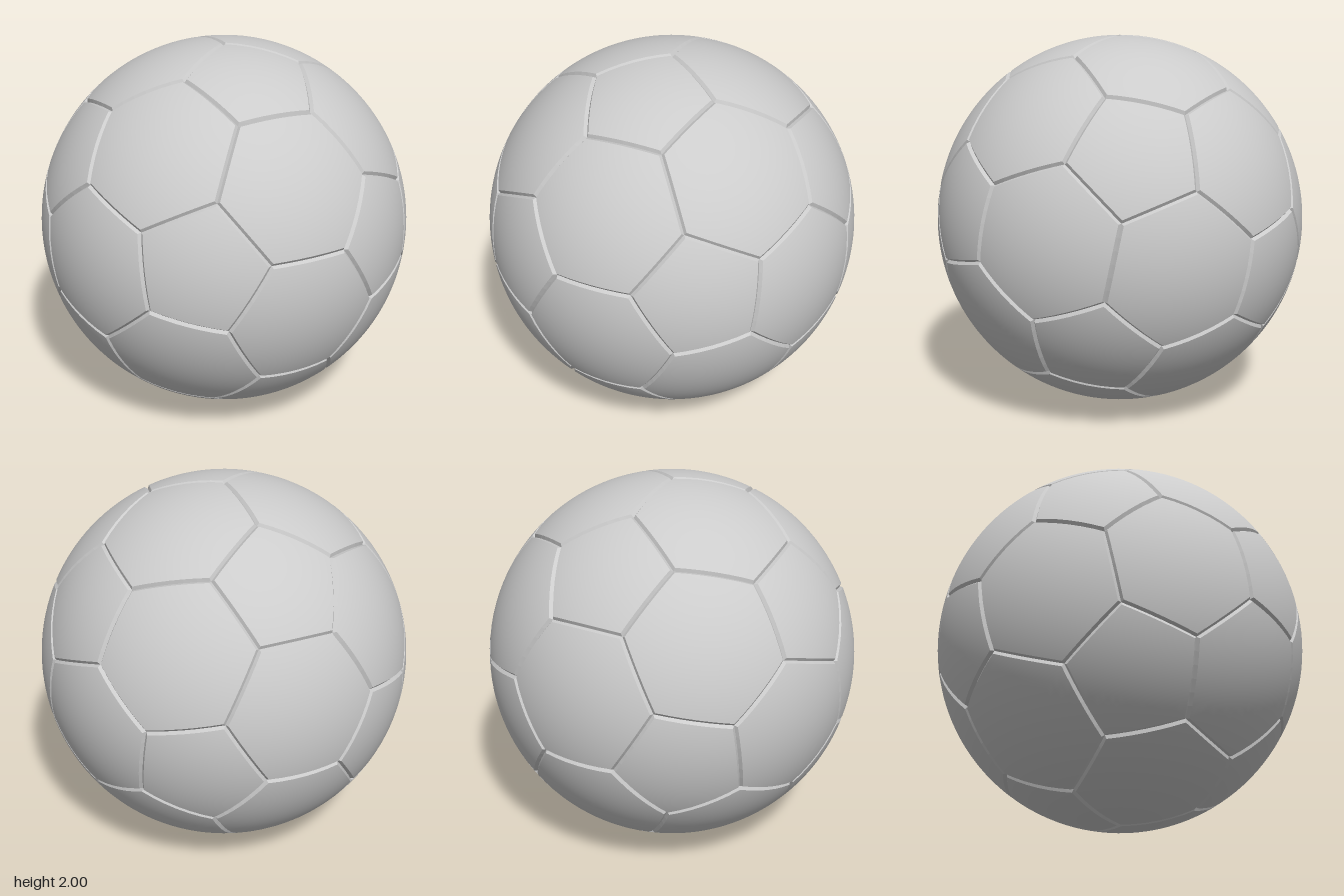
import * as THREE from 'three';

const PHI = (1 + Math.sqrt(5)) / 2;
const HALF_GAP = 0.014;  // half the width of a seam
const GROOVE_R = 0.985;  // radius at the bottom of a seam
const RINGS = 8, STEPS = 6;

// The 12 icosahedron corners are the pentagon centres; turned so a seam junction sits on top.
function pentagonCentres() {
  const pts = [];
  for (const a of [1, -1]) for (const b of [PHI, -PHI])
    pts.push(new THREE.Vector3(0, a, b), new THREE.Vector3(a, b, 0), new THREE.Vector3(b, 0, a));
  const A = new THREE.Vector3(0, 1, PHI), B = new THREE.Vector3(0, -1, PHI), C = new THREE.Vector3(-PHI, 0, 1);
  const y = towards(A, B).normalize();
  const x = towards(A, C);
  x.addScaledVector(y, -x.dot(y)).normalize();
  const z = new THREE.Vector3().crossVectors(x, y);
  const turn = new THREE.Matrix4().makeBasis(x, y, z).transpose();
  return pts.map(p => p.applyMatrix4(turn).normalize());
}

// Panel corner: a third of the way from one pentagon centre to its neighbour
function towards(a, b) {
  return a.clone().multiplyScalar(2).add(b);
}

// Sort corners counter-clockwise as seen from outside
function sortAround(corners, n) {
  const u = corners[0].clone().addScaledVector(n, -corners[0].dot(n)).normalize();
  const v = new THREE.Vector3().crossVectors(n, u);
  const angle = p => Math.atan2(p.dot(v), p.dot(u));
  return corners.sort((p, q) => angle(p) - angle(q));
}

// One closed loop of points around a panel, scaled towards its centre and pushed onto a sphere
function loop(corners, centre, scale, radius) {
  const out = [];
  corners.forEach((c, i) => {
    const next = corners[(i + 1) % corners.length];
    for (let s = 0; s < STEPS; s++) {
      const p = c.clone().lerp(next, s / STEPS);
      out.push(centre.clone().lerp(p, scale).normalize().multiplyScalar(radius));
    }
  });
  return out;
}

// Skin a list of loops running from the inside outwards
function skin(loops) {
  const n = loops[0].length, index = [];
  for (let r = 0; r < loops.length - 1; r++) for (let i = 0; i < n; i++) {
    const a = r * n + i, b = r * n + (i + 1) % n;
    if (r > 0 || loops[0][0].distanceTo(loops[0][1]) > 1e-6) index.push(a, b + n, b);
    index.push(a, a + n, b + n);
  }
  const g = new THREE.BufferGeometry().setFromPoints(loops.flat());
  g.setIndex(index);
  return g;
}

function makePanel(name, rawCorners, n, material) {
  const corners = sortAround(rawCorners.map(c => c.normalize()), n);
  const centre = n.clone().multiplyScalar(corners[0].dot(n));
  const apothem = corners[0].clone().lerp(corners[1], 0.5).distanceTo(centre);
  const edge = 1 - HALF_GAP / apothem;
  const panel = new THREE.Group();
  panel.name = name;

  // Smooth spherical face
  const rings = [];
  for (let r = 0; r <= RINGS; r++) rings.push(loop(corners, centre, edge * r / RINGS, 1));
  const face = skin(rings);
  face.setAttribute('normal', face.attributes.position.clone());

  // Sloping side down to the bottom of the seam
  const side = skin([loop(corners, centre, edge, 1), loop(corners, centre, 1, GROOVE_R)]).toNonIndexed();
  side.computeVertexNormals();

  const faceMesh = new THREE.Mesh(face, material);
  faceMesh.name = 'panelFace';
  const sideMesh = new THREE.Mesh(side, material);
  sideMesh.name = 'seamSide';
  panel.add(faceMesh, sideMesh);
  return panel;
}

export function createModel() {
  const ball = new THREE.Group();
  ball.name = 'ball';
  const material = new THREE.MeshStandardMaterial({ color: 0xcccccc });
  const P = pentagonCentres();
  const near = (a, b) => a !== b && a.dot(b) > 0.4;

  // 12 pentagons, one around each centre
  for (const a of P) {
    const corners = P.filter(b => near(a, b)).map(b => towards(a, b));
    ball.add(makePanel('pentagonPanel', corners, a, material));
  }

  // 20 hexagons, one between every three neighbouring pentagons
  for (let i = 0; i < 12; i++) for (let j = i + 1; j < 12; j++) for (let k = j + 1; k < 12; k++) {
    const t = [P[i], P[j], P[k]];
    if (!near(t[0], t[1]) || !near(t[1], t[2]) || !near(t[0], t[2])) continue;
    const corners = t.flatMap(a => t.filter(b => b !== a).map(b => towards(a, b)));
    const n = t[0].clone().add(t[1]).add(t[2]).normalize();
    ball.add(makePanel('hexagonPanel', corners, n, material));
  }

  ball.position.y = 1;
  const model = new THREE.Group();
  model.add(ball);
  return model;
}
